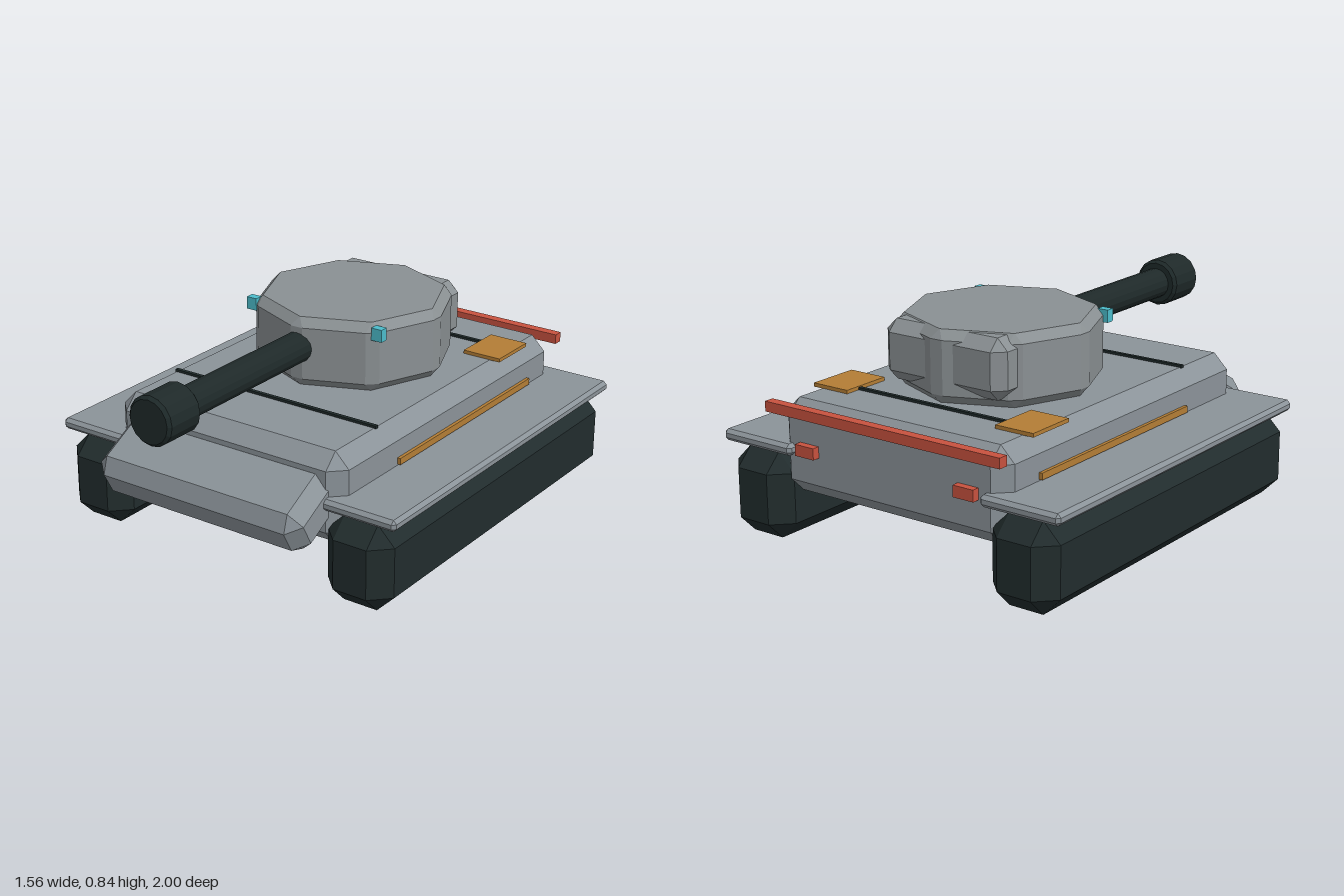
import * as THREE from 'three';
import { ConvexGeometry } from 'three/addons/geometries/ConvexGeometry.js';

const paint = (name, color) => {
  const m = new THREE.MeshStandardMaterial({ color, flatShading: true });
  m.name = name;
  return m;
};

// Box with every edge and corner cut by c, centred on the origin
function chamferBox(w, h, d, c) {
  const pts = [];
  for (const sx of [-1, 1]) for (const sy of [-1, 1]) for (const sz of [-1, 1]) {
    const x = w / 2, y = h / 2, z = d / 2;
    pts.push(new THREE.Vector3(sx * x, sy * (y - c), sz * (z - c)));
    pts.push(new THREE.Vector3(sx * (x - c), sy * y, sz * (z - c)));
    pts.push(new THREE.Vector3(sx * (x - c), sy * (y - c), sz * z));
  }
  return new ConvexGeometry(pts);
}

// Eight-sided drum with chamfered rims and cut vertical edges
function turretGeometry(radius, height, c) {
  const pts = [], step = Math.PI / 4, cut = 0.07;
  const put = (r, a, y) => pts.push(new THREE.Vector3(r * Math.sin(a), y, r * Math.cos(a)));
  for (let i = 0; i < 8; i++) {
    for (const s of [-1, 1]) {
      put(radius - c, i * step, s * height / 2);
      const r = radius * Math.cos(step / 2) / Math.cos(step / 2 - cut);
      for (const t of [-1, 1]) put(r, i * step + t * cut, s * (height / 2 - c));
    }
  }
  return new ConvexGeometry(pts);
}

export function createModel() {
  const grey = paint('hull grey', 0x8b9399);
  const turretGrey = paint('turret grey', 0x8a9093);
  const trackDark = paint('track dark', 0x212c2d);
  const gunDark = paint('gun dark', 0x1e2929);
  const amber = paint('amber', 0xb37d35);
  const red = paint('red', 0xc8523f);
  const cyan = paint('cyan', 0x4cbccb);

  const model = new THREE.Group();
  model.name = 'tank';
  const add = (name, geometry, material, x, y, z) => {
    const mesh = new THREE.Mesh(geometry, material);
    mesh.name = name;
    mesh.position.set(x, y, z);
    model.add(mesh);
    return mesh;
  };
  const box = (w, h, d) => new THREE.BoxGeometry(w, h, d);

  // Hull and sloping nose
  add('hull', chamferBox(1.055, 0.365, 1.53, 0.06), grey, 0, 0.378, -0.175);
  const nose = add('nosePlate', chamferBox(0.95, 0.2, 0.3, 0.053), grey, 0, 0.346, 0.628);
  nose.rotation.x = 0.5;

  // Turret with rear stowage box
  add('turret', turretGeometry(0.4, 0.28, 0.035), turretGrey, 0, 0.7, -0.262);
  add('turretBustle', chamferBox(0.56, 0.235, 0.2, 0.045), turretGrey, 0, 0.718, -0.535);

  // Gun barrel and muzzle
  const barrel = add('gunBarrel', new THREE.CylinderGeometry(0.062, 0.062, 0.85, 16), gunDark, 0, 0.72, 0.425);
  const muzzleProfile = [[0, -0.09], [0.085, -0.09], [0.097, -0.077], [0.097, 0.077], [0.085, 0.09], [0, 0.09]]
    .map(([r, y]) => new THREE.Vector2(r, y));
  const muzzle = add('muzzle', new THREE.LatheGeometry(muzzleProfile, 16), gunDark, 0, 0.72, 0.91);
  barrel.rotation.x = muzzle.rotation.x = Math.PI / 2;

  // Deck seams
  add('frontDeckSeam', box(0.95, 0.012, 0.016), gunDark, 0, 0.564, 0.277);
  add('rearDeckSeam', box(0.95, 0.012, 0.016), gunDark, 0, 0.564, -0.68);

  // Rear light bar
  add('rearBar', box(1.085, 0.04, 0.04), red, 0, 0.536, -0.965);

  // Paired parts, left is +x
  for (const s of [1, -1]) {
    const side = s > 0 ? 'left' : 'right';
    add(side + 'Track', chamferBox(0.29, 0.345, 1.645, 0.073), trackDark, s * 0.61, 0.1725, -0.178);
    add(side + 'Fender', chamferBox(0.34, 0.046, 1.59, 0.014), grey, s * 0.61, 0.377, -0.18);
    add(side + 'SideStrip', box(0.04, 0.026, 0.955), amber, s * 0.521, 0.418, -0.262);
    add(side + 'EngineHatch', box(0.166, 0.015, 0.213), amber, s * 0.429, 0.567, -0.646);
    add(side + 'RearLamp', box(0.09, 0.045, 0.04), red, s * 0.37, 0.387, -0.95);
    add(side + 'TurretLamp', box(0.046, 0.05, 0.035), cyan, s * 0.296, 0.803, 0.003);
    add(side + 'NoseSlit', box(0.12, 0.006, 0.02), gunDark, s * 0.34, 0.396, 0.711);
  }
  return model;
}
